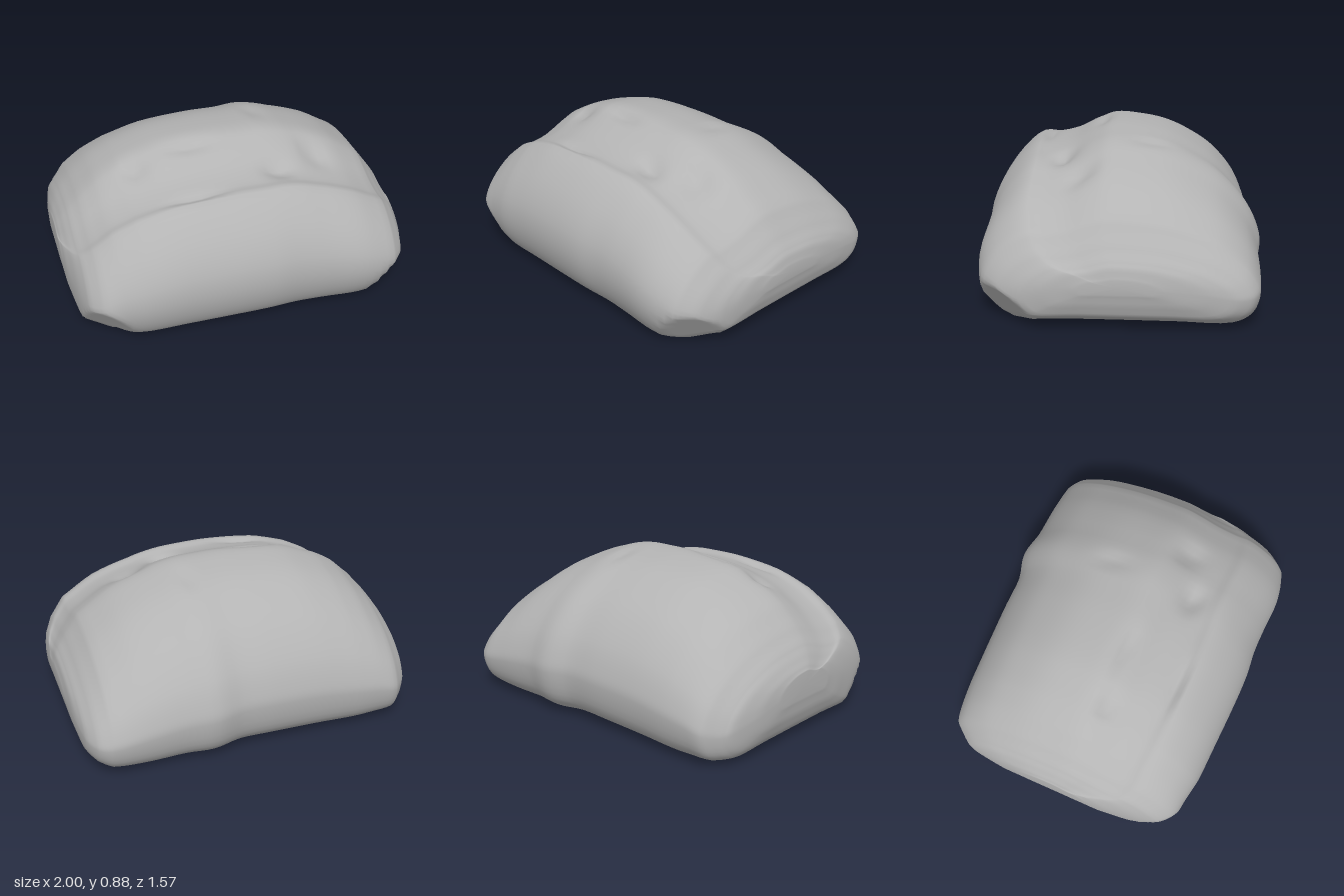
import * as THREE from 'three';

// Cross-section, front to back over the top: [depth fraction, height fraction]
const SECTION = [
  [0.85, 0.01], [0.94, 0.1], [1, 0.28], [0.985, 0.47], [0.87, 0.68], [0.67, 0.85],
  [0.56, 0.845], [0.39, 0.88], [0.22, 0.96], [0.1, 1], [-0.1, 0.99], [-0.32, 0.95],
  [-0.52, 0.87], [-0.72, 0.75], [-0.9, 0.56], [-0.98, 0.4], [-1, 0.3], [-0.95, 0.1],
  [-0.82, 0], [-0.4, 0], [0, 0.005], [0.4, 0.008],
];

// Stations along the loaf: [x, top, bottom, front z, back z]
const STATIONS = [
  [-1, 0.4, 0.25, 0.2, -0.2], [-0.985, 0.43, 0.16, 0.34, -0.38], [-0.955, 0.48, 0.08, 0.52, -0.55],
  [-0.92, 0.53, 0.04, 0.65, -0.61], [-0.85, 0.61, 0.025, 0.72, -0.69], [-0.74, 0.71, 0.02, 0.74, -0.71],
  [-0.6, 0.79, 0.015, 0.765, -0.72], [-0.38, 0.86, 0.02, 0.775, -0.725], [-0.1, 0.88, 0.025, 0.785, -0.735],
  [0.1, 0.875, 0.025, 0.785, -0.74], [0.26, 0.865, 0.02, 0.77, -0.785], [0.42, 0.82, 0.015, 0.77, -0.765],
  [0.64, 0.73, 0.01, 0.775, -0.765], [0.83, 0.6, 0.02, 0.735, -0.755], [0.91, 0.49, 0.06, 0.65, -0.715],
  [0.96, 0.42, 0.1, 0.52, -0.62], [0.985, 0.38, 0.17, 0.38, -0.45], [1, 0.32, 0.24, 0.2, -0.2],
];

// Small dents in the crust: [x, z, depth, radius x, radius z]
const DENTS = [
  [-0.54, 0.16, 0.04, 0.06, 0.06], [-0.22, 0.13, 0.03, 0.12, 0.04], [0.24, 0.34, 0.045, 0.08, 0.06],
  [0.5, 0.22, 0.04, 0.06, 0.08], [-0.28, 0.47, 0.03, 0.14, 0.03], [0.24, -0.16, 0.02, 0.04, 0.1],
];

// Slanted cuts under the front corners
const CUTS = [
  [new THREE.Vector3(-0.52, -0.55, 0.65).normalize(), 0.77],
  [new THREE.Vector3(0.62, -0.55, 0.56).normalize(), 0.8],
];

function shapePoint(p) {
  if (p.y > 0.4) {
    for (const [x, z, depth, rx, rz] of DENTS) {
      p.y -= depth * Math.exp(-(((p.x - x) / rx) ** 2) - ((p.z - z) / rz) ** 2);
    }
  }
  for (const [normal, limit] of CUTS) {
    const over = p.dot(normal) - limit;
    if (over > 0) p.addScaledVector(normal, -over);
  }
  p.y = Math.max(p.y, 0);
  return p;
}

function loafGeometry() {
  const curve = new THREE.CatmullRomCurve3(
    SECTION.map(([z, y]) => new THREE.Vector3(0, y, z)), true, 'centripetal');
  const around = 88, steps = 4;
  const ring = curve.getPoints(around).slice(0, around);
  const positions = [], index = [];

  // Rings along x, blended smoothly between stations
  const rows = (STATIONS.length - 1) * steps + 1;
  const at = (i, k) => STATIONS[Math.min(Math.max(i, 0), STATIONS.length - 1)][k];
  for (let r = 0; r < rows; r++) {
    const i = Math.floor(r / steps), t = (r % steps) / steps;
    const value = (k) => {
      const a = at(i, k), b = at(i + 1, k);
      const ma = (b - at(i - 1, k)) / 2, mb = (at(i + 2, k) - a) / 2;
      return THREE.MathUtils.lerp(a, b, t) + t * (1 - t) * ((1 - t) * (ma - b + a) - t * (mb - b + a));
    };
    const x = THREE.MathUtils.lerp(at(i, 0), at(i + 1, 0), t);
    const top = value(1), bottom = value(2), front = value(3), back = value(4);
    for (const q of ring) {
      const z = q.z > 0 ? q.z * front : -q.z * back;
      positions.push(...shapePoint(new THREE.Vector3(x, bottom + q.y * (top - bottom), z)));
    }
  }
  for (let r = 0; r < rows - 1; r++) {
    for (let j = 0; j < around; j++) {
      const a = r * around + j, b = r * around + (j + 1) % around;
      index.push(a, a + around, b, b, a + around, b + around);
    }
  }

  // End caps
  for (const [row, right] of [[0, false], [rows - 1, true]]) {
    const s = right ? STATIONS.at(-1) : STATIONS[0];
    const centre = positions.length / 3;
    positions.push(s[0], (s[1] + s[2]) / 2, 0);
    for (let j = 0; j < around; j++) {
      const a = row * around + j, b = row * around + (j + 1) % around;
      index.push(centre, right ? b : a, right ? a : b);
    }
  }

  const geometry = new THREE.BufferGeometry();
  geometry.setAttribute('position', new THREE.Float32BufferAttribute(positions, 3));
  geometry.setIndex(index);
  geometry.computeVertexNormals();
  return geometry;
}

export function createModel() {
  const group = new THREE.Group();
  group.name = 'loaf';
  const crust = new THREE.MeshStandardMaterial({ color: 0xb4b4b4 });
  crust.name = 'grey crust';
  const body = new THREE.Mesh(loafGeometry(), crust);
  body.name = 'loafBody';
  group.add(body);
  return group;
}
